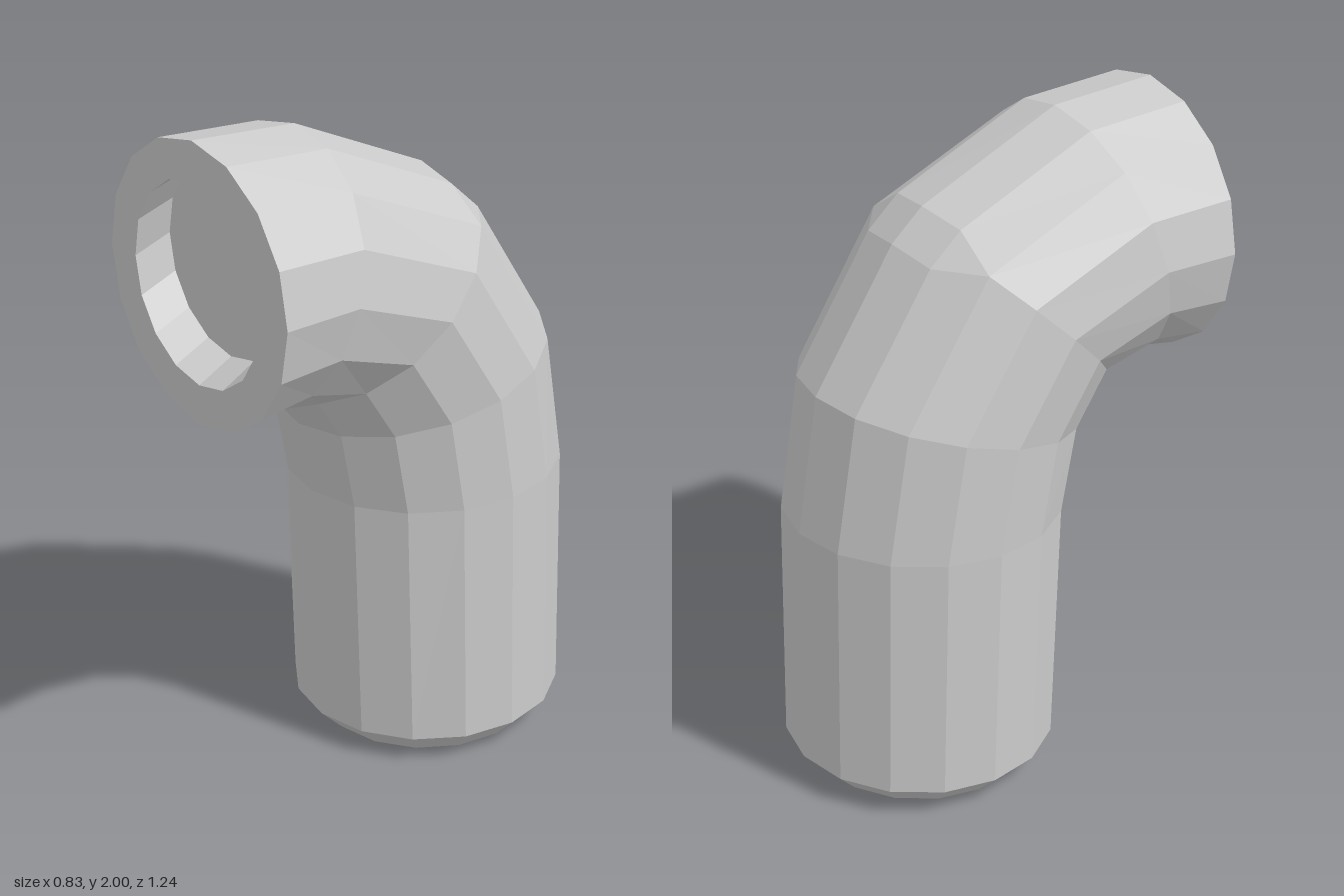
import * as THREE from 'three';

const SIDES = 16;
const material = new THREE.MeshStandardMaterial({ color: 0xcccccc, flatShading: true });

// Ring lying between an outer-bend point and an inner-bend point, both [z, y]
function ring([oz, oy], [iz, iy], width, shiftX = 0) {
  const cz = (oz + iz) / 2, cy = (oy + iy) / 2;
  return Array.from({ length: SIDES }, (_, j) => {
    const t = (j / SIDES) * Math.PI * 2, c = Math.cos(t);
    return new THREE.Vector3(shiftX + Math.sin(t) * width, cy + c * (oy - cy), cz + c * (oz - cz));
  });
}

// Copy of a ring with its three outermost corners moved
function nudge(points, dz, dy) {
  return points.map((p, j) => {
    const q = p.clone();
    if (j <= 1 || j === SIDES - 1) { q.z += dz; q.y += dy; }
    return q;
  });
}

// Ring collapsed to its centre, used to close an end
function centre(points) {
  const c = points.reduce((s, p) => s.add(p), new THREE.Vector3()).divideScalar(SIDES);
  return points.map(() => c);
}

// Faceted skin through successive rings
function loft(name, rings) {
  const pos = [];
  const tri = (a, b, c) => {
    if (new THREE.Triangle(a, b, c).getArea() < 1e-7) return;
    for (const p of [a, b, c]) pos.push(p.x, p.y, p.z);
  };
  for (let i = 0; i < rings.length - 1; i++) {
    const a = rings[i], b = rings[i + 1];
    for (let j = 0; j < SIDES; j++) {
      const k = (j + 1) % SIDES;
      tri(a[j], b[j], a[k]);
      tri(a[k], b[j], b[k]);
    }
  }
  const geometry = new THREE.BufferGeometry();
  geometry.setAttribute('position', new THREE.Float32BufferAttribute(pos, 3));
  geometry.computeVertexNormals();
  const mesh = new THREE.Mesh(geometry, material);
  mesh.name = name;
  return mesh;
}

export function createModel() {
  const group = new THREE.Group();
  group.name = 'bentPipe';
  const R = 0.415;

  // Cross-sections from the foot up to the mouth
  const foot = ring([-0.545, 0.02], [0.13, 0.0], 0.34);
  const shoulder = ring([-0.615, 0.095], [0.21, 0.08], R);
  const bend = ring([-0.23, 1.753], [0.35, 1.19], R);
  const mouth = ring([0.62, 2.0], [0.62, 1.175], R);

  // Bore rings, slightly skewed towards the floor
  const hole = ring([0.62, 1.885], [0.62, 1.295], 0.295);
  const floor = ring([0.5, 1.915], [0.5, 1.345], 0.285, -0.015);

  group.add(
    loft('baseCap', [centre(foot), foot]),
    loft('baseChamfer', [foot, shoulder]),
    loft('elbowPipe', [
      shoulder,
      ring([-0.6, 0.87], [0.235, 0.85], R),
      ring([-0.53, 1.29], [0.28, 1.08], R),
      nudge(bend, -0.04, -0.063), // small flat facet on the outer corner
      nudge(bend, 0.06, 0.027),
      ring([0.28, 1.98], [0.48, 1.205], R),
      mouth,
    ]),
    loft('mouthRim', [mouth, hole]),
    loft('boreWall', [hole, floor]),
    loft('boreFloor', [floor, centre(floor)]),
  );
  return group;
}
